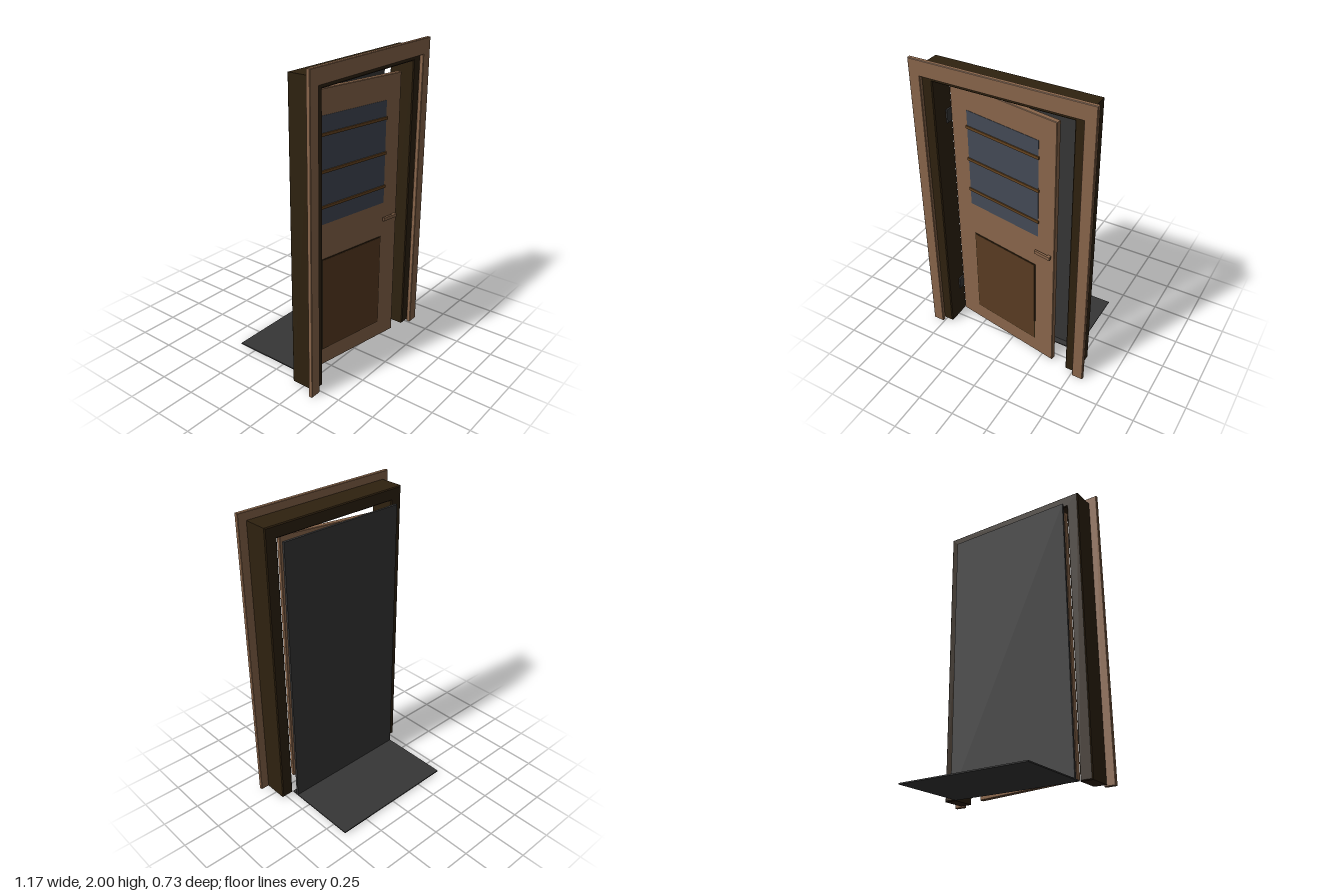
import * as THREE from 'three';

const mat = (name, color, side = THREE.FrontSide) => {
  const m = new THREE.MeshStandardMaterial({ color, side });
  m.name = name;
  return m;
};

export function createModel() {
  const wood = mat('light wood', 0x88654a);
  const darkWood = mat('dark wood', 0x2e210f);
  const panelWood = mat('panel wood', 0x593b21);
  const slatWood = mat('slat wood', 0x65431f);
  const glassBlue = mat('glass', 0x434955);
  const grey = mat('charcoal', 0x363636);

  const model = new THREE.Group();
  model.name = 'doorway';

  // Box given by its extents on each axis
  const box = (parent, name, material, [x0, x1], [y0, y1], [z0, z1]) => {
    const mesh = new THREE.Mesh(new THREE.BoxGeometry(x1 - x0, y1 - y0, z1 - z0), material);
    mesh.position.set((x0 + x1) / 2, (y0 + y1) / 2, (z0 + z1) / 2);
    mesh.name = name;
    parent.add(mesh);
    return mesh;
  };

  // Three-sided surround (two legs and a head) with a small bevel
  const surround = (name, material, outer, inner, y0, top, innerTop, z0, z1, bevel) => {
    const b = bevel;
    const shape = new THREE.Shape([
      [-outer + b, y0 + b], [-inner - b, y0 + b], [-inner - b, innerTop + b], [inner + b, innerTop + b],
      [inner + b, y0 + b], [outer - b, y0 + b], [outer - b, top - b], [-outer + b, top - b],
    ].map(([x, y]) => new THREE.Vector2(x, y)));
    const geo = new THREE.ExtrudeGeometry(shape, {
      depth: z1 - z0 - 2 * b, bevelEnabled: true, bevelSize: b, bevelThickness: b, bevelSegments: 1,
    });
    geo.translate(0, 0, z0 + b);
    const mesh = new THREE.Mesh(geo, material);
    mesh.name = name;
    model.add(mesh);
  };

  surround('frontTrim', wood, 0.583, 0.51, 0, 2, 1.9, 0.338, 0.365, 0.003);
  surround('doorFrame', darkWood, 0.53, 0.447, 0.008, 1.95, 1.87, 0.167, 0.338, 0.006);

  // Backdrop and floor behind the doorway
  box(model, 'backPanel', grey, [-0.443, 0.443], [0.008, 1.862], [0.113, 0.129]);
  box(model, 'floorPanel', grey, [-0.443, 0.443], [0.008, 0.016], [-0.366, 0.167]);

  // Hinge plates on the jamb
  for (const y of [0.275, 1.6]) {
    box(model, 'hinge', grey, [-0.449, -0.437], [y - 0.043, y + 0.043], [0.185, 0.23]);
  }

  // Door leaf, ajar; local x runs from the hinge, local z = 0 is its front face
  const door = new THREE.Group();
  door.name = 'door';
  door.position.set(-0.44, 0, 0.185);
  door.rotation.y = -THREE.MathUtils.degToRad(10);
  model.add(door);

  const leafShape = new THREE.Shape([
    [0.003, 0.019], [0.786, 0.019], [0.786, 1.818], [0.003, 1.818],
  ].map(([x, y]) => new THREE.Vector2(x, y)));
  const leafGeo = new THREE.ExtrudeGeometry(leafShape, {
    depth: 0.028, bevelEnabled: true, bevelSize: 0.003, bevelThickness: 0.003, bevelSegments: 1,
  });
  leafGeo.translate(0, 0, -0.031);
  const leaf = new THREE.Mesh(leafGeo, wood);
  leaf.name = 'doorLeaf';
  door.add(leaf);

  // Window with slats
  box(door, 'windowGlass', glassBlue, [0.127, 0.667], [1.0, 1.667], [-0.036, 0.002]);
  for (const y of [1.112, 1.333, 1.556]) {
    box(door, 'windowSlat', slatWood, [0.121, 0.673], [y - 0.009, y + 0.009], [-0.037, 0.009]);
  }

  // Lower panel with a dark edge
  box(door, 'panelEdge', darkWood, [0.146, 0.648], [0.13, 0.77], [-0.036, 0.003]);
  box(door, 'lowerPanel', panelWood, [0.152, 0.642], [0.136, 0.764], [-0.037, 0.005]);

  // Lever handle and its stem
  box(door, 'handle', wood, [0.655, 0.77], [0.88, 0.902], [0.01, 0.024]);
  box(door, 'handleStem', wood, [0.745, 0.765], [0.882, 0.9], [-0.002, 0.012]);

  return model;
}
